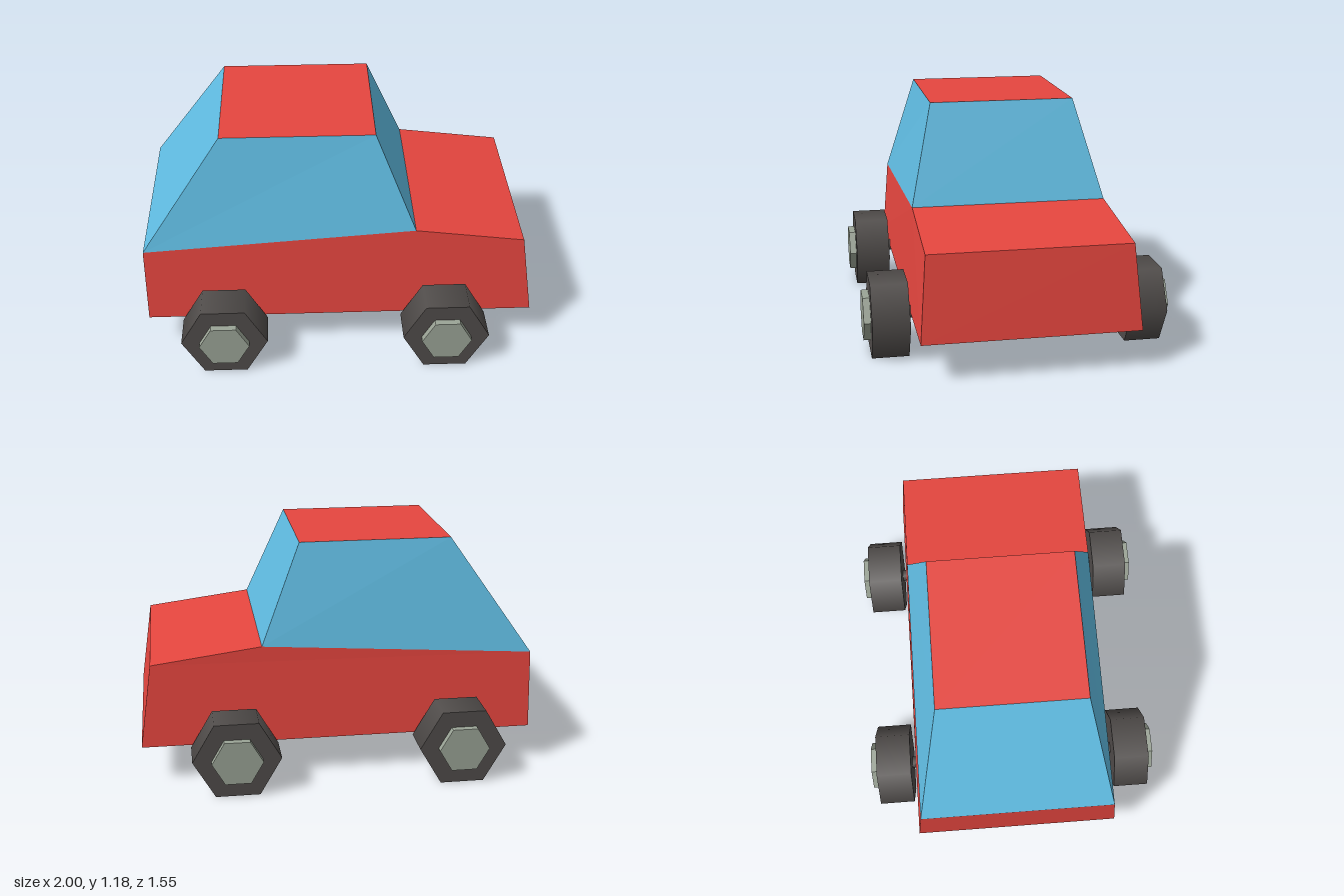
import * as THREE from 'three';

const paint = (name, color) => Object.assign(new THREE.MeshStandardMaterial({ color }), { name });

// Flat-faced surface from polygons, each a convex loop of [x, y, z] corners
function polygons(faces) {
  const points = [];
  for (const f of faces)
    for (let i = 1; i < f.length - 1; i++) points.push(...f[0], ...f[i], ...f[i + 1]);
  const geometry = new THREE.BufferGeometry();
  geometry.setAttribute('position', new THREE.Float32BufferAttribute(points, 3));
  geometry.computeVertexNormals();
  return geometry;
}

// Cylinder lying along z, with a corner pointing to +x
const rod = (radius, length, sides) =>
  new THREE.CylinderGeometry(radius, radius, length, sides, 1, false, Math.PI / 2).rotateX(Math.PI / 2);

export function createModel() {
  const car = new THREE.Group();
  car.name = 'car';
  const red = paint('red paint', 0xe6463f);
  const blue = paint('blue glass', 0x60bce2);
  const rubber = paint('dark rubber', 0x504c4a);
  const metal = paint('grey metal', 0x9ba496);

  const add = (name, geometry, material, x = 0, y = 0, z = 0) => {
    const mesh = new THREE.Mesh(geometry, material);
    mesh.name = name;
    mesh.position.set(x, y, z);
    car.add(mesh);
  };

  // Profile corners as [x, y, half width]
  const tailLow = [-1, 0.197, 0.535], noseLow = [1, 0.197, 0.535];
  const tailTop = [-1, 0.595, 0.502], cowl = [0.385, 0.69, 0.498], noseTop = [0.94, 0.618, 0.501];
  const roofBack = [-0.592, 1.185, 0.374], roofFront = [0.18, 1.185, 0.374];

  const at = (p, s) => [p[0], p[1], p[2] * s];
  // Face crossing the car between two profile corners, taken nose to tail over the top
  const span = (a, b) => [at(a, 1), at(a, -1), at(b, -1), at(b, 1)];
  // Matching faces on the left and right flanks
  const flanks = (...ps) => [ps.map(p => at(p, 1)), ps.map(p => at(p, -1)).reverse()];

  // Lower body
  add('body', polygons([
    ...flanks(cowl, tailTop, tailLow, noseLow, noseTop),
    span(noseLow, noseTop), span(noseTop, cowl), span(tailTop, tailLow), span(tailLow, noseLow),
  ]), red);

  // Cabin glass and roof
  add('windows', polygons([
    ...flanks(tailTop, cowl, roofFront, roofBack),
    span(cowl, roofFront), span(roofBack, tailTop),
  ]), blue);
  add('roof', polygons([span(roofFront, roofBack)]), red);

  // Axles, six-sided tyres and hubs
  const axle = rod(0.032, 1.14, 12);
  const tyre = rod(0.22, 0.186, 6);
  const hub = rod(0.127, 0.06, 6).toNonIndexed();
  hub.computeVertexNormals();
  for (const [end, x] of [['rear', -0.6], ['front', 0.535]]) {
    add(end + 'Axle', axle, rubber, x, 0.195);
    for (const [side, s] of [['Left', 1], ['Right', -1]]) {
      add(end + side + 'Tyre', tyre, rubber, x, 0.191, s * 0.646);
      add(end + side + 'Hub', hub, metal, x, 0.191, s * 0.744);
    }
  }
  return car;
}
